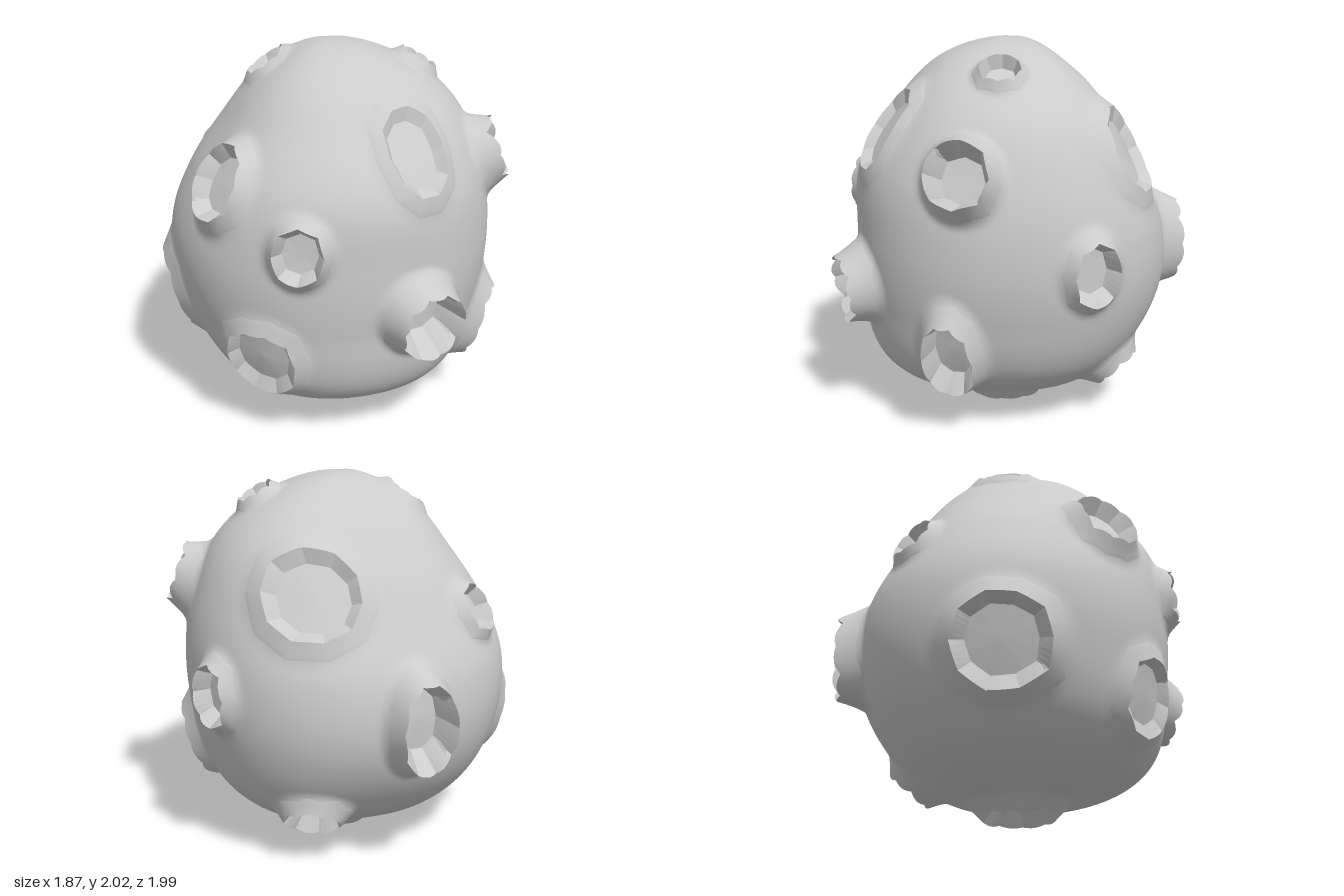
import * as THREE from 'three';
import { mergeVertices } from 'three/addons/utils/BufferGeometryUtils.js';

const CENTRE = new THREE.Vector3(0, 1, 0);
const { lerp, clamp, smoothstep } = THREE.MathUtils;

// Distance from the centre every 22.5 degrees, top to bottom, on four meridians
const MERIDIANS = [
  [1, 0.98, 0.96, 0.9, 0.88, 0.91, 0.99, 0.98, 0.95],   // +x
  [1, 0.98, 0.91, 0.9, 0.86, 0.91, 1.05, 0.98, 0.95],   // +z
  [1, 0.92, 0.82, 0.82, 0.87, 0.9, 0.95, 0.96, 0.95],   // -x
  [1, 0.89, 0.79, 0.76, 0.83, 0.9, 0.93, 0.95, 0.95],   // -z
];

// Craters: position, half width, half height, rim height
const CRATERS = [
  [[0.315, 1.58, 0.7], 0.155, 0.235, 0.03],
  [[-0.34, 1.13, 0.9], 0.12, 0.135, 0.07],
  [[0.36, 0.71, 0.92], 0.155, 0.15, 0.16],
  [[-0.55, 0.42, 0.75], 0.19, 0.19, 0.04],
  [[0.85, 1.43, 0.31], 0.145, 0.15, 0.12],
  [[0.85, 0.92, -0.38], 0.12, 0.155, 0.07],
  [[0.82, 0.43, 0.38], 0.125, 0.21, 0.09],
  [[0.38, 0.18, -0.59], 0.145, 0.13, 0.07],
  [[0.46, 1.86, 0.08], 0.1, 0.1, 0.05],
  [[-0.34, 1.9, -0.07], 0.14, 0.11, 0.03],
  [[0.36, 1.45, -0.6], 0.24, 0.23, 0.04],
  [[-0.57, 1.33, -0.57], 0.115, 0.125, 0.05],
  [[-0.7, 1.42, 0.49], 0.15, 0.19, 0.075],
  [[-0.86, 0.61, -0.09], 0.24, 0.23, 0.06],
  [[-0.13, 0.82, -0.93], 0.13, 0.21, 0.14],
  [[0.08, 0, 0.04], 0.19, 0.19, 0.07],
];

// Body radius in a given direction, before craters
function bodyRadius(d) {
  const p = Math.acos(clamp(d.y, -1, 1)) / (Math.PI / 8);
  const i = Math.min(7, Math.floor(p)), t = p - i;
  const along = (m) => {
    const at = (k) => m[k < 0 ? -k : k > 8 ? 16 - k : k];
    const [a, b, c, e] = [at(i - 1), at(i), at(i + 1), at(i + 2)];
    return b + 0.5 * t * (c - a + t * (2 * a - 5 * b + 4 * c - e + t * (3 * (b - c) + e - a)));
  };
  const turn = (Math.atan2(d.z, d.x) / (Math.PI / 2) + 4) % 4;
  const q = Math.floor(turn) % 4, k = turn - Math.floor(turn);
  const fullness = 1 + 0.032 * Math.sin(k * Math.PI) ** 2 * Math.hypot(d.x, d.z);
  return fullness * lerp(along(MERIDIANS[q]), along(MERIDIANS[(q + 1) % 4]), smoothstep(k, 0, 1));
}

// Local frame of a crater on the surface
function craterFrame([at, hu, hv, rim]) {
  const c = new THREE.Vector3(...at).sub(CENTRE).normalize();
  const u = new THREE.Vector3(0, 1, 0).cross(c).normalize();
  const v = c.clone().cross(u);
  return { c, u, v, hu, hv, rim, r: bodyRadius(c) };
}

// Height of the slope around a crater at s times its radius
const slope = (f, s) => f.rim * clamp((1.75 - s) / 0.75, 0, 1.05) ** 2;

// Egg-shaped body, swelling towards each rim and sunk inside it
function makeBody(frames) {
  let g = new THREE.SphereGeometry(1, 220, 150);
  g.deleteAttribute('uv');
  g.deleteAttribute('normal');
  g = mergeVertices(g, 1e-5);
  const pos = g.attributes.position, d = new THREE.Vector3();
  for (let i = 0; i < pos.count; i++) {
    d.fromBufferAttribute(pos, i).normalize();
    let r = bodyRadius(d);
    for (const f of frames) {
      const k = d.dot(f.c);
      if (k < 0.7) continue;
      const s = Math.hypot(d.dot(f.u) / f.hu, d.dot(f.v) / f.hv) * f.r / k;
      r += slope(f, s) - (0.11 + f.rim) * (1 - smoothstep(s, 0.75, 1.1));
    }
    d.multiplyScalar(r).add(CENTRE);
    pos.setXYZ(i, d.x, d.y, d.z);
  }
  g.computeVertexNormals();
  return g;
}

// Strip of rings around a crater; each ring is [scale, lift, height], where
// a missing height follows the slope
function makeStrip(f, rings, outline) {
  const n = outline.length, pts = [], idx = [];
  rings.forEach(([s, lift, h], j) => {
    outline.forEach((o, i) => {
      const d = f.c.clone().multiplyScalar(f.r)
        .addScaledVector(f.u, f.hu * s * o.x)
        .addScaledVector(f.v, f.hv * s * o.y).normalize();
      d.multiplyScalar(bodyRadius(d) + lift + (h ?? slope(f, s * o.length()))).add(CENTRE);
      pts.push(d.x, d.y, d.z);
      if (j === 0) return;
      const a = (j - 1) * n, b = j * n, k = (i + 1) % n;
      idx.push(a + i, a + k, b + k, a + i, b + k, b + i);
    });
  });
  const g = new THREE.BufferGeometry();
  g.setAttribute('position', new THREE.Float32BufferAttribute(pts, 3));
  g.setIndex(idx);
  g.computeVertexNormals();
  return g;
}

export function createModel() {
  const model = new THREE.Group();
  model.name = 'crateredRock';
  const smooth = new THREE.MeshStandardMaterial({ color: 0xcccccc });
  const faceted = new THREE.MeshStandardMaterial({ color: 0xcccccc, flatShading: true });
  const add = (parent, name, geometry, material) => {
    const m = new THREE.Mesh(geometry, material);
    m.name = name;
    parent.add(m);
  };
  let seed = 7;
  const random = () => (seed = (seed * 16807) % 2147483647) / 2147483647;

  // Uneven polygon of unit radius, each side split in five
  const makeOutline = (sides) => {
    const corners = Array.from({ length: sides }, (_, i) => {
      const a = (i / sides) * Math.PI * 2;
      const r = 0.99 + 0.06 * random() + 0.06 * Math.sin(2 * a) ** 2;
      return new THREE.Vector2(r * Math.cos(a), r * Math.sin(a));
    });
    return corners.flatMap((c, i) =>
      [0, 0.2, 0.4, 0.6, 0.8].map((t) => c.clone().lerp(corners[(i + 1) % sides], t)));
  };

  const frames = CRATERS.map(craterFrame);
  add(model, 'body', makeBody(frames), smooth);

  // Craters: rim edge, steep inner wall and sunken floor
  frames.forEach((f) => {
    const crater = new THREE.Group();
    crater.name = 'crater';
    const outline = makeOutline(f.hu + f.hv > 0.3 ? 10 : 8);
    add(crater, 'rim', makeStrip(f,
      [[1.5, -0.003], [1.4, 0.002], [1.3, 0.003], [1.2, 0.003], [1.1, 0.002], [1, 0]], outline), smooth);
    add(crater, 'innerWall', makeStrip(f, [[1, 0], [0.78, 0, -0.02]], outline), faceted);
    add(crater, 'floor', makeStrip(f,
      [[0.78, 0, -0.02], [0.4, 0, -0.025], [0, 0, -0.025]], outline), smooth);
    model.add(crater);
  });
  return model;
}
